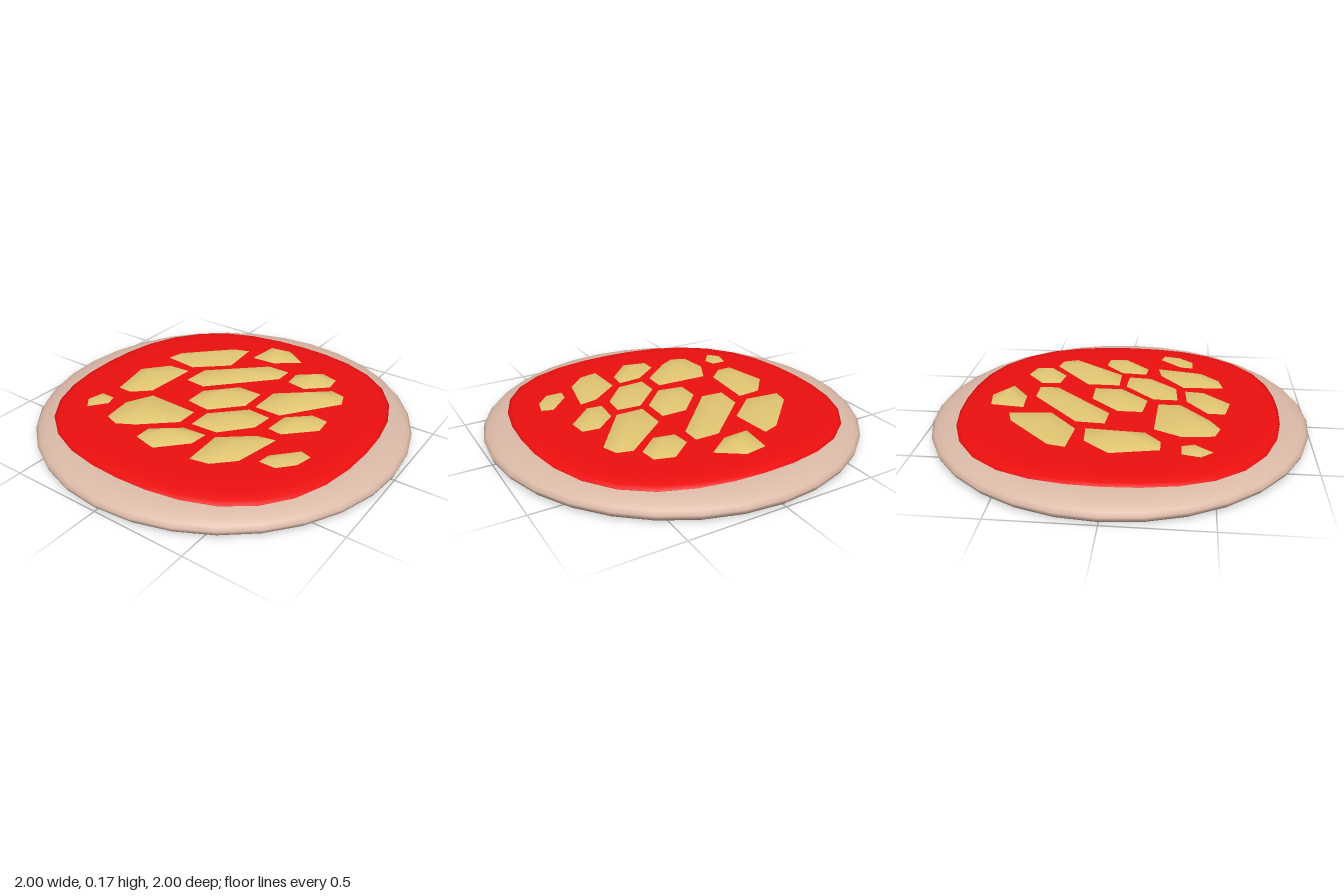
import * as THREE from 'three';

const SIDES = 32;
const material = (color) => new THREE.MeshStandardMaterial({ color, side: THREE.DoubleSide });
const lathe = (points) => new THREE.LatheGeometry(points.map(([r, y]) => new THREE.Vector2(r, y)), SIDES);

function addMesh(group, name, geometry, mat) {
  const mesh = new THREE.Mesh(geometry, mat);
  mesh.name = name;
  group.add(mesh);
}

// Low tent over an outline of x, z pairs, listed clockwise from above
function cheesePiece(outline, height) {
  const n = outline.length / 2;
  const rimY = 0.119;
  const positions = [0, rimY + height, 0];
  const index = [];
  for (let i = 0; i < n; i++) {
    const x = outline[2 * i], z = outline[2 * i + 1];
    positions[0] += x / n;
    positions[2] += z / n;
    positions.push(x, rimY, z);
    index.push(0, 1 + ((i + 1) % n), 1 + i);
  }
  const geometry = new THREE.BufferGeometry();
  geometry.setAttribute('position', new THREE.Float32BufferAttribute(positions, 3));
  geometry.setIndex(index);
  geometry.computeVertexNormals();
  return geometry;
}

export function createModel() {
  const model = new THREE.Group();
  model.name = 'pizza';

  // Crust: flat base with a rounded rim
  addMesh(model, 'crust', lathe([
    [0, 0], [0.93, 0], [0.98, 0.004], [0.995, 0.02], [1, 0.038], [0.985, 0.055],
    [0.96, 0.07], [0.92, 0.084], [0.87, 0.092], [0.82, 0.095], [0.76, 0.09], [0, 0.09],
  ]), material(0xdcbaa8));

  // Sauce: shallow dome, slightly squared in plan
  const sauce = lathe([
    [0.84, 0.08], [0.845, 0.094], [0.825, 0.104], [0.79, 0.111], [0.72, 0.116], [0.6, 0.118], [0, 0.118],
  ]);
  const p = sauce.attributes.position;
  for (let i = 0; i < p.count; i++) {
    const x = p.getX(i), z = p.getZ(i);
    const s = 1 + 0.065 * Math.sin(2 * Math.atan2(z, x)) ** 2;
    p.setX(i, x * s);
    p.setZ(i, z * s);
  }
  addMesh(model, 'sauce', sauce, material(0xee0f0f));

  // Cheese pieces scattered over the sauce
  const cheese = new THREE.Group();
  cheese.name = 'cheese';
  model.add(cheese);
  const cheeseMaterial = material(0xe2c672);
  const piece = (height, ...outline) =>
    addMesh(cheese, 'cheesePiece', cheesePiece(outline, height), cheeseMaterial);

  piece(0.045, -0.12, -0.68, 0, -0.7, 0.13, -0.61, 0, -0.51, -0.14, -0.5);
  piece(0.035, -0.55, -0.21, -0.53, -0.3, -0.3, -0.53, -0.21, -0.56, -0.19, -0.34, -0.36, -0.19);
  piece(0.035, -0.29, -0.05, -0.28, -0.2, 0, -0.46, 0.13, -0.46, 0.13, -0.36, -0.17, -0.04);
  piece(0.045, 0.19, -0.36, 0.18, -0.46, 0.3, -0.56, 0.4, -0.53, 0.41, -0.44, 0.3, -0.34);
  piece(0.05, 0.19, -0.02, 0.19, -0.2, 0.44, -0.41, 0.52, -0.39, 0.55, -0.31, 0.34, -0.02);
  piece(0.045, -0.59, 0, -0.48, -0.13, -0.35, -0.14, -0.37, 0.16, -0.46, 0.24, -0.54, 0.24);
  piece(0.045, -0.14, 0, 0, -0.15, 0.14, -0.15, 0.14, 0, 0, 0.15, -0.14, 0.13);
  piece(0.035, 0.36, 0.12, 0.37, -0.02, 0.48, -0.12, 0.57, -0.11, 0.58, -0.01, 0.44, 0.13);
  piece(0.035, 0.02, 0.31, 0.02, 0.18, 0.18, 0.02, 0.31, 0.03, 0.3, 0.15, 0.17, 0.3);
  piece(0.04, -0.4, 0.34, -0.33, 0.2, -0.04, 0.21, -0.04, 0.33, -0.21, 0.48, -0.3, 0.53, -0.38, 0.5);
  piece(0.045, -0.13, 0.56, -0.13, 0.47, 0.01, 0.36, 0.14, 0.35, 0.13, 0.45, 0, 0.59);
  piece(0.04, 0.2, 0.56, 0.19, 0.34, 0.35, 0.21, 0.45, 0.19, 0.4, 0.44, 0.3, 0.54);
  piece(0.02, 0.48, 0.39, 0.49, 0.32, 0.6, 0.2, 0.66, 0.22, 0.64, 0.31, 0.57, 0.39);
  piece(0.02, -0.59, 0.43, -0.57, 0.34, -0.49, 0.34, -0.47, 0.4, -0.54, 0.49);

  return model;
}
